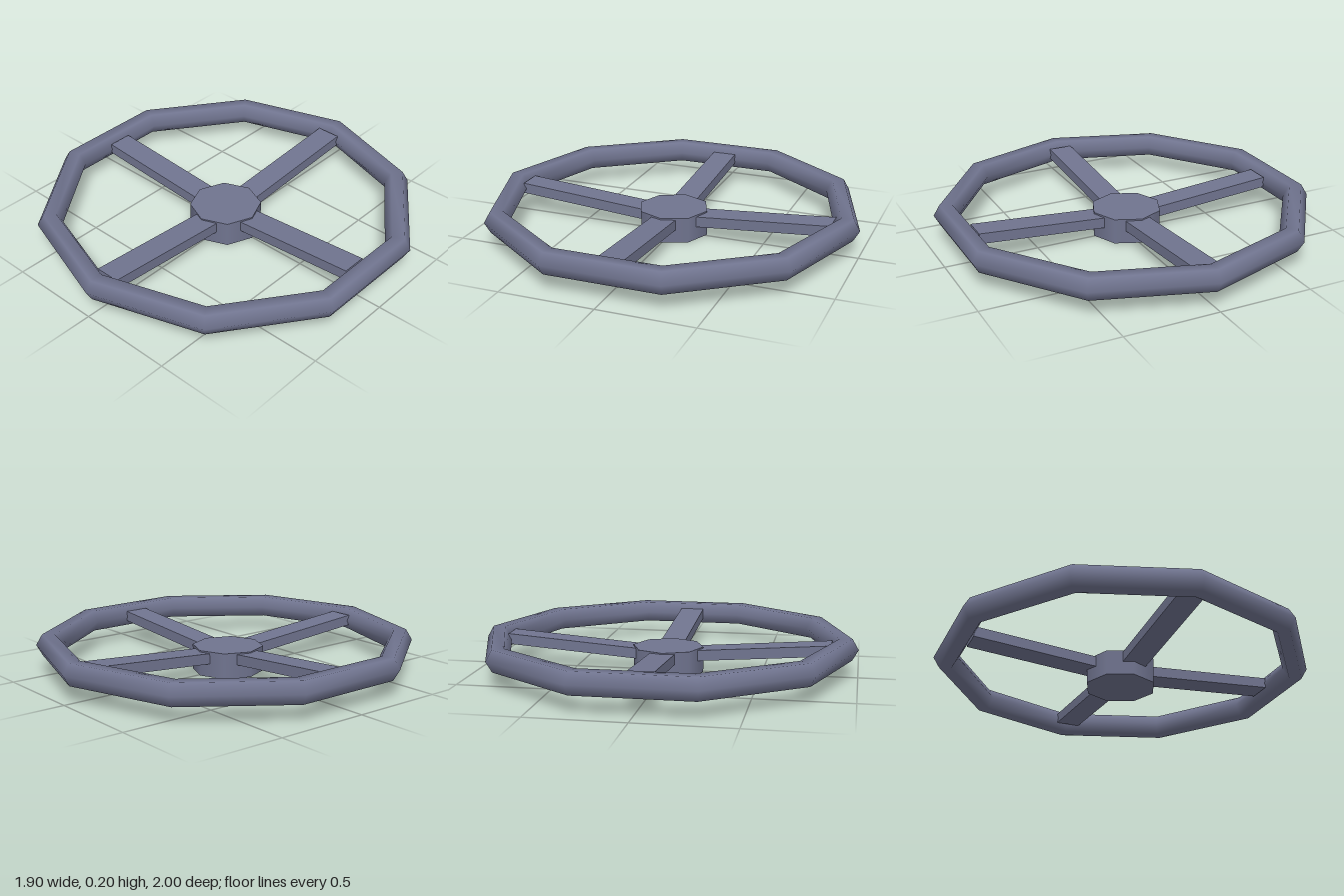
import * as THREE from 'three';

export function createModel() {
  const wheel = new THREE.Group();
  wheel.name = 'handwheel';
  const paint = new THREE.MeshStandardMaterial({ color: 0x70748f });
  paint.name = 'slate blue paint';

  const add = (name, geometry) => {
    const mesh = new THREE.Mesh(geometry, paint);
    mesh.name = name;
    wheel.add(mesh);
    return mesh;
  };

  // Ten-sided rim with a hexagonal section, one corner pointing to the front
  const rim = new THREE.TorusGeometry(0.934, 0.066, 6, 10);
  rim.rotateX(-Math.PI / 2).rotateY(Math.PI / 2);
  add('rim', rim).position.y = 0.147;

  // Eight-sided hub, set very slightly off centre
  add('hub', new THREE.CylinderGeometry(0.188, 0.188, 0.135, 8)).position.set(-0.012, 0.0675, 0.004);

  // Flat spokes that rise from the hub to the rim
  const inner = 0.1, slope = 0.075;
  const names = ['leftSpoke', 'backSpoke', 'rightSpoke', 'frontSpoke'];
  names.forEach((name, i) => {
    const outer = i % 2 ? 0.862 : 0.832;
    const spoke = new THREE.BoxGeometry(outer - inner, 0.056, 0.132);
    spoke.translate((inner + outer) / 2, 0, 0);
    const p = spoke.attributes.position;
    for (let v = 0; v < p.count; v++) p.setY(v, p.getY(v) + 0.086 + slope * p.getX(v));
    spoke.computeVertexNormals();
    add(name, spoke).rotation.y = i * Math.PI / 2;
  });

  return wheel;
}
